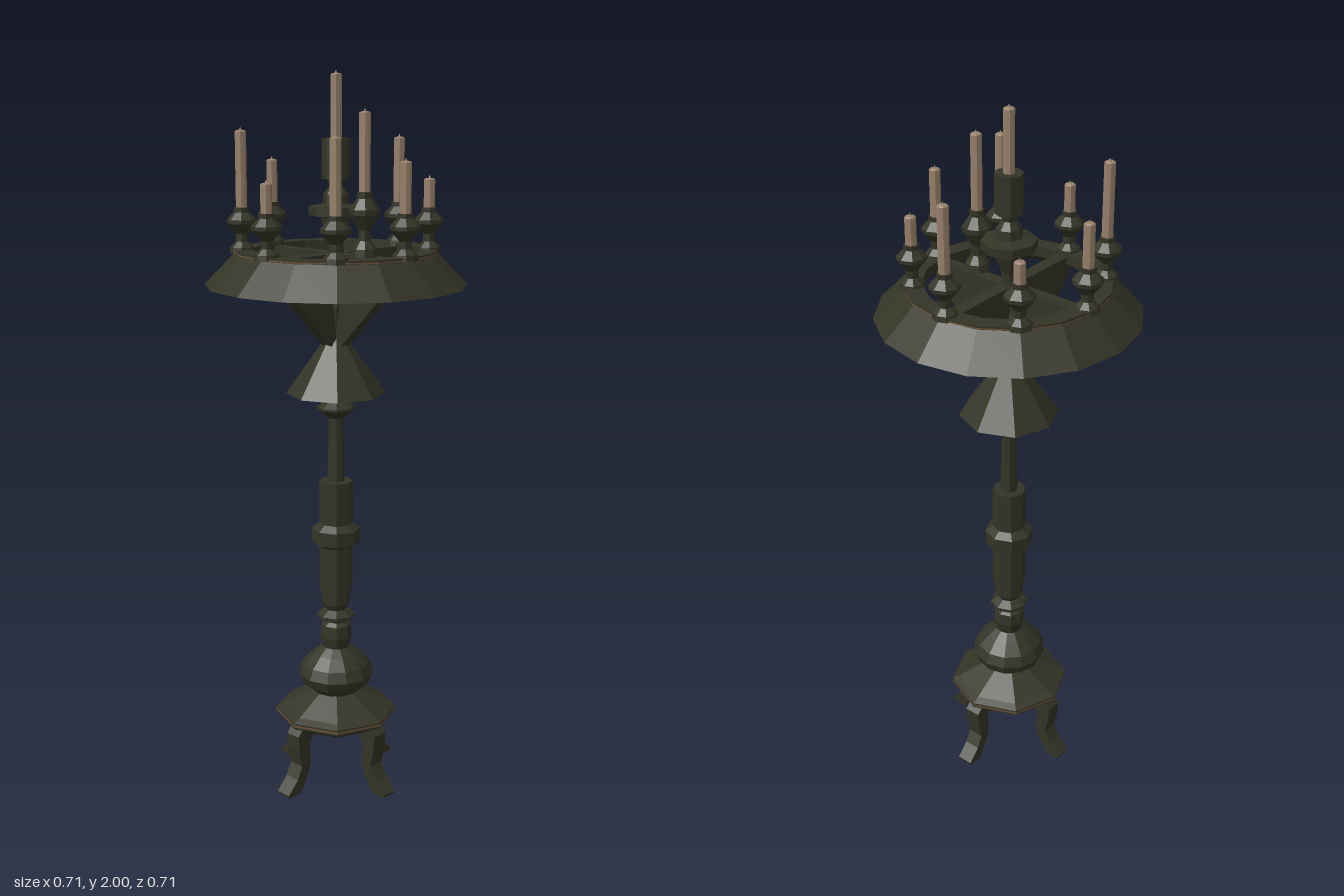
import * as THREE from 'three';

export function createModel() {
  const model = new THREE.Group();
  model.name = 'candelabrum';
  const mat = (name, color) => Object.assign(new THREE.MeshStandardMaterial({ color }), { name });
  const iron = mat('dark iron', 0x333326);
  const wax = mat('tan wax', 0x97806a);
  const bronze = mat('bronze trim', 0x6b5238);

  // Faceted mesh helpers
  const facet = (geo) => {
    const g = geo.index ? geo.toNonIndexed() : geo;
    g.computeVertexNormals();
    return g;
  };
  const add = (parent, name, geo, material) => {
    const mesh = new THREE.Mesh(facet(geo), material);
    mesh.name = name;
    parent.add(mesh);
    return mesh;
  };
  const turn = (points, sides = 8, phase = Math.PI / 8) =>
    new THREE.LatheGeometry(points.map(([r, y]) => new THREE.Vector2(r, y)), sides, phase);
  const plate = (points, width) => {
    const shape = new THREE.Shape(points.map(([x, y]) => new THREE.Vector2(x, y)));
    return new THREE.ExtrudeGeometry(shape, { depth: width, bevelEnabled: false }).translate(0, 0, -width / 2);
  };

  // Base plate with the round bulb above it
  add(model, 'base', turn([
    [0, 0.13], [0.025, 0.145], [0.04, 0.18], [0.15, 0.18], [0.172, 0.195], [0.172, 0.21],
    [0.15, 0.22], [0.07, 0.268], [0.07, 0.275],
  ]), iron);
  add(model, 'baseTrim', turn([[0.173, 0.2], [0.173, 0.206]]), bronze);
  add(model, 'bulb', turn([
    [0.065, 0.265], [0.095, 0.29], [0.107, 0.32], [0.095, 0.35], [0.065, 0.38], [0.04, 0.4],
  ], 12), iron);

  // Turned column
  add(model, 'column', turn([
    [0.036, 0.39], [0.045, 0.43], [0.042, 0.465], [0.03, 0.475], [0.054, 0.487], [0.054, 0.497],
    [0.03, 0.512], [0.04, 0.53], [0.04, 0.57], [0.047, 0.57], [0.047, 0.7], [0.068, 0.712],
    [0.068, 0.752], [0.047, 0.768], [0.047, 0.89], [0.024, 0.89], [0.02, 1.07], [0.03, 1.075],
    [0.052, 1.095], [0.052, 1.102], [0.024, 1.12], [0.024, 1.29], [0.036, 1.38], [0.034, 1.43],
    [0.02, 1.47], [0.02, 1.57],
  ]), iron);

  // Flared bell, hollow underneath
  add(model, 'bell', turn([
    [0.137, 1.14], [0.035, 1.285], [0.02, 1.3], [0.02, 1.285], [0.129, 1.14], [0.137, 1.14],
  ]), iron);

  // Sloping crown ring
  add(model, 'crownRing', turn([
    [0.355, 1.44], [0.272, 1.525], [0.272, 1.534], [0.225, 1.534], [0.225, 1.505],
    [0.262, 1.505], [0.345, 1.44], [0.355, 1.44],
  ], 16, -0.02), iron);
  add(model, 'crownTrim', turn([[0.273, 1.526], [0.273, 1.53]], 16, -0.02), bronze);

  // Four legs and four triangular brackets share the same directions
  const legOutline = [
    [0.1, 0.195], [0.155, 0.195], [0.174, 0.175], [0.17, 0.13], [0.16, 0.08], [0.178, 0.045],
    [0.213, 0.008], [0.21, 0], [0.165, 0], [0.14, 0.045], [0.125, 0.085], [0.13, 0.14],
  ];
  const bracketOutline = [[0.015, 1.27], [0.03, 1.27], [0.235, 1.475], [0.235, 1.525], [0.015, 1.525]];
  for (let i = 0; i < 4; i++) {
    const angle = 0.373 + (i * Math.PI) / 2;
    add(model, 'leg', plate(legOutline, 0.046), iron).rotation.y = angle;
    add(model, 'bracket', plate(bracketOutline, 0.036), iron).rotation.y = angle;
  }

  // Candle with a short wick tip
  const candle = (parent, bottom, top, r) => {
    add(parent, 'candle', turn([
      [0, bottom], [r, bottom], [r, top - 0.012], [r * 0.7, top - 0.009], [0.003, top - 0.008], [0, top],
    ]), wax);
  };

  // Small candle cups: x, z, candle top, cup height factor
  const spots = [
    [-0.09, -0.235, 1.77, 1], [0.1, -0.23, 1.71, 1], [0.232, -0.092, 1.83, 1],
    [0.227, 0.1, 1.73, 1], [0.09, 0.232, 1.785, 1], [-0.102, 0.226, 1.847, 1],
    [-0.234, 0.089, 1.73, 1], [-0.23, -0.102, 1.855, 1], [0.029, 0.117, 1.905, 1.4],
  ];
  for (const [x, z, top, k] of spots) {
    const holder = new THREE.Group();
    holder.name = 'candleHolder';
    holder.position.set(x, 0, z);
    const profile = [
      [0, 0], [0.034, 0], [0.032, 0.015], [0.016, 0.03], [0.016, 0.05], [0.04, 0.078],
      [0.04, 0.088], [0.02, 0.108], [0.02, 0.12], [0, 0.12],
    ];
    add(holder, 'cup', turn(profile.map(([r, y]) => [r, 1.525 + y * k])), iron);
    candle(holder, 1.525 + 0.11 * k, top, 0.015);
    model.add(holder);
  }

  // Central holder: drip dish, waist and tall socket
  add(model, 'centreHolder', turn([
    [0.02, 1.56], [0.036, 1.6], [0.04, 1.62], [0.074, 1.625], [0.074, 1.648], [0.036, 1.655],
    [0.034, 1.68], [0.018, 1.7], [0.022, 1.715], [0.038, 1.72], [0.038, 1.825], [0, 1.825],
  ]), iron);
  candle(model, 1.82, 2, 0.015);

  return model;
}
